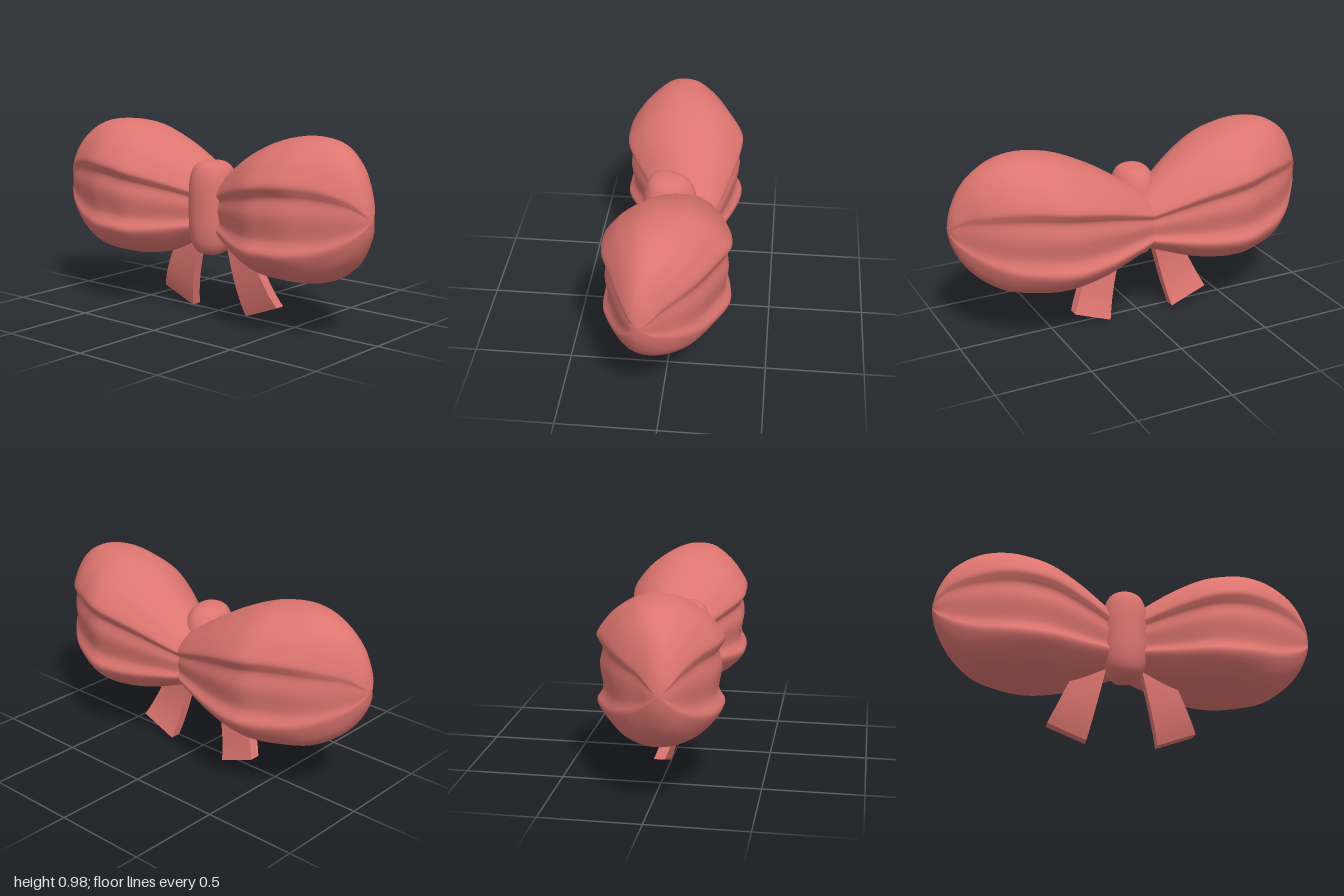
import * as THREE from 'three';

const red = new THREE.MeshStandardMaterial({ color: 0xdd7570 });
red.name = 'ribbon red';

// Puffy loop stations from the knot outwards: x, top y, bottom y, front z, back z
const STATIONS = [
  [0, 0.70, 0.40, 0.08, -0.20],
  [0.1, 0.77, 0.36, 0.135, -0.235],
  [0.25, 0.865, 0.30, 0.225, -0.275],
  [0.4, 0.935, 0.265, 0.30, -0.307],
  [0.52, 0.97, 0.257, 0.31, -0.31],
  [0.64, 0.98, 0.262, 0.297, -0.262],
  [0.76, 0.962, 0.288, 0.25, -0.20],
  [0.86, 0.905, 0.35, 0.205, -0.12],
  [0.93, 0.83, 0.425, 0.165, -0.04],
  [0.98, 0.725, 0.52, 0.125, 0.02],
  [1.0, 0.64, 0.60, 0.09, 0.06],
];

// Half of the pleated cross-section, top to bottom: width, height (both -1..1)
const PLEATS = [
  [0.35, 0.955], [0.66, 0.79], [0.84, 0.63], [0.99, 0.43], [0.95, 0.32], [0.9, 0.22],
  [0.95, 0], [0.9, -0.28], [0.93, -0.4], [1, -0.53], [0.85, -0.72], [0.64, -0.87], [0.33, -0.97],
];

function spline(points, closed = false) {
  return new THREE.CatmullRomCurve3(points, closed, 'catmullrom', 0.5);
}

function makeLoop(side) {
  const rings = 50, segs = 104;
  const v = (x, y, z) => new THREE.Vector3(x, y, z);
  const topFront = spline(STATIONS.map(([x, t, , f]) => v(x, t, f)));
  const bottomBack = spline(STATIONS.map(([x, , b, , k]) => v(x, b, k)));
  const section = spline([
    v(0, 1, 0), ...PLEATS.map(([w, u]) => v(w, u, 0)),
    v(0, -1, 0), ...PLEATS.map(([w, u]) => v(-w, u, 0)).reverse(),
  ], true);

  const pos = [], index = [];
  const tri = (a, b, c) => index.push(...(side > 0 ? [a, b, c] : [a, c, b]));
  for (let i = 0; i <= rings; i++) {
    const p = topFront.getPoint(i / rings), q = bottomBack.getPoint(i / rings);
    const cy = (p.y + q.y) / 2, hy = (p.y - q.y) / 2;
    const cz = (p.z + q.z) / 2, hz = (p.z - q.z) / 2;
    for (let j = 0; j < segs; j++) {
      const s = section.getPoint(j / segs);
      pos.push(side * p.x, cy + hy * s.y, cz + hz * s.x);
      if (i === rings) continue;
      const a = i * segs + j, b = i * segs + (j + 1) % segs;
      tri(a, b, a + segs);
      tri(b, b + segs, a + segs);
    }
  }
  // Close the outer tip
  const tip = pos.length / 3, last = rings * segs;
  pos.push(side, 0.62, 0.075);
  for (let j = 0; j < segs; j++) tri(last + j, last + (j + 1) % segs, tip);

  const geo = new THREE.BufferGeometry();
  geo.setAttribute('position', new THREE.Float32BufferAttribute(pos, 3));
  geo.setIndex(index);
  geo.computeVertexNormals();
  return geo;
}

// Moves every vertex of a geometry by a rule
function warp(geo, rule) {
  const p = geo.attributes.position, v = new THREE.Vector3();
  for (let i = 0; i < p.count; i++) {
    rule(v.fromBufferAttribute(p, i));
    p.setXYZ(i, v.x, v.y, v.z);
  }
  geo.computeVertexNormals();
  return geo;
}

// Upright rounded knot, flatter in front and longer behind
function makeKnot() {
  return warp(new THREE.SphereGeometry(1, 48, 32), (v) => {
    const n = 3.4;
    const k = Math.pow(Math.pow(Math.hypot(v.x, v.z), n) + Math.pow(Math.abs(v.y), n), -1 / n);
    v.multiplyScalar(k);
    v.set(v.x * 0.118, 0.565 + v.y * 0.245, 0.065 + v.z * (v.z > 0 ? 0.11 : 0.17));
  });
}

// Flaring ribbon end that curls backwards towards its cut edge
function makeTail(side) {
  const { lerp } = THREE.MathUtils;
  return warp(new THREE.BoxGeometry(1, 1, 1, 1, 12, 1), (v) => {
    const t = 0.5 - v.y, across = 0.5 + side * v.x;
    const x = lerp(lerp(0.085, 0.184, t), lerp(0.235, 0.386, t), across);
    const y = lerp(lerp(0.42, 0, t), lerp(0.4, 0.078, t), across);
    v.set(side * x, y, 0.022 + v.z * 0.056 - 0.051 * t ** 3);
  });
}

export function createModel() {
  const bow = new THREE.Group();
  bow.name = 'ribbonBow';
  const add = (name, geo) => {
    const mesh = new THREE.Mesh(geo, red);
    mesh.name = name;
    bow.add(mesh);
  };
  for (const [name, side] of [['left', 1], ['right', -1]]) {
    add(name + 'Loop', makeLoop(side));
    add(name + 'Tail', makeTail(side));
  }
  add('knot', makeKnot());
  return bow;
}
